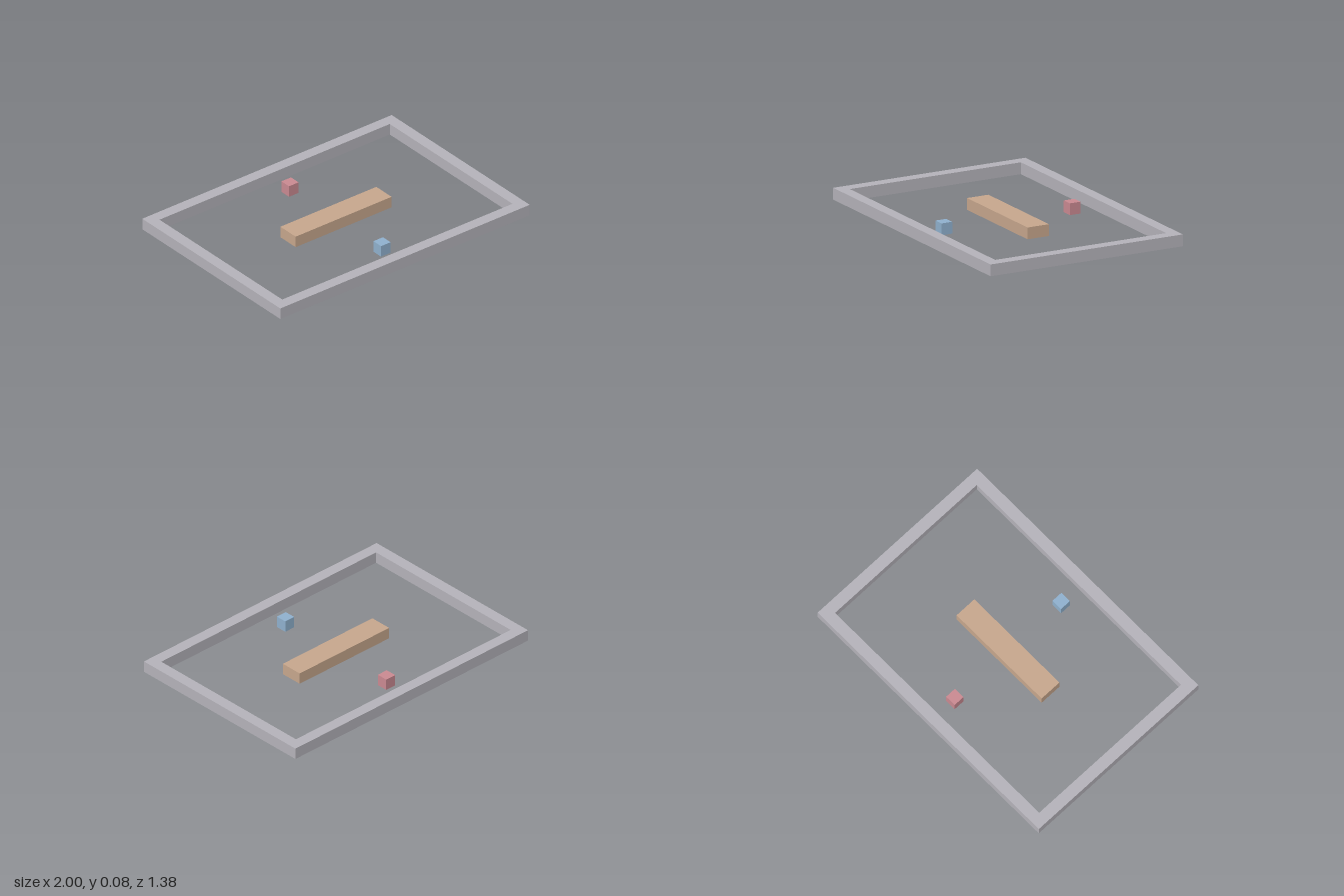
import * as THREE from 'three';

// One grid cell; every part is a whole number of cells in size.
const CELL = 2 / 13 / 2;

const material = (name, color) => {
  const m = new THREE.MeshStandardMaterial({ color });
  m.name = name;
  return m;
};

// Block resting on the ground, one cell tall, measured in cells.
function block(name, width, depth, z, mat) {
  const mesh = new THREE.Mesh(new THREE.BoxGeometry(width * CELL, CELL, depth * CELL), mat);
  mesh.name = name;
  mesh.position.set(0, CELL / 2, z * CELL);
  return mesh;
}

// Counter-clockwise rectangle corners centred on the origin, in cells.
const rectangle = (w, d) =>
  [[-1, -1], [1, -1], [1, 1], [-1, 1]].map(([x, y]) => new THREE.Vector2((x * w * CELL) / 2, (y * d * CELL) / 2));

export function createModel() {
  const grey = material('wall grey', 0xb4b2b9);
  const tan = material('barrier tan', 0xc6a68c);
  const red = material('marker red', 0xc98991);
  const blue = material('marker blue', 0x8fb0cd);

  const model = new THREE.Group();
  model.name = 'arena';

  // Boundary wall: a rectangular ring laid flat
  const outline = new THREE.Shape(rectangle(26, 18));
  outline.holes.push(new THREE.Path(rectangle(24, 16).reverse()));
  const ring = new THREE.ExtrudeGeometry(outline, { depth: CELL, bevelEnabled: false });
  ring.rotateX(-Math.PI / 2);
  const wall = new THREE.Mesh(ring, grey);
  wall.name = 'boundaryWall';
  model.add(wall);

  // Central barrier and the two facing markers
  model.add(
    block('centreBarrier', 10, 2, 0, tan),
    block('frontMarker', 1, 1, 6, blue),
    block('backMarker', 1, 1, -6, red),
  );

  return model;
}
